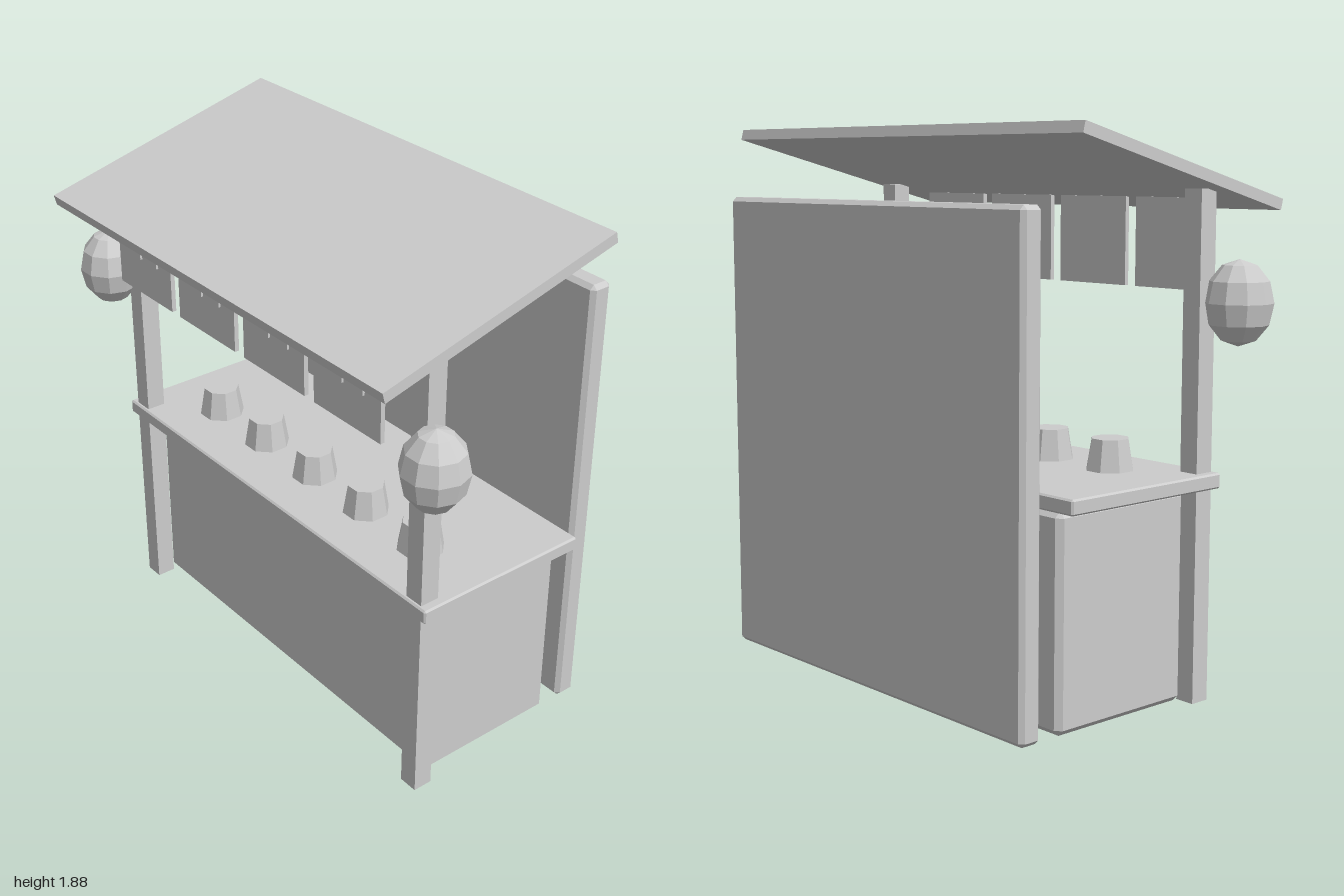
import * as THREE from 'three';
import { ConvexGeometry } from 'three/addons/geometries/ConvexGeometry.js';

export function createModel() {
  const model = new THREE.Group();
  const grey = new THREE.MeshStandardMaterial({ color: 0xcccccc, flatShading: true });
  grey.name = 'plain grey';

  const add = (name, geometry, x, y, z) => {
    const mesh = new THREE.Mesh(geometry, grey);
    mesh.name = name;
    mesh.position.set(x, y, z);
    model.add(mesh);
    return mesh;
  };

  // Box given by its limits on each axis
  const box = (name, [x0, x1], [y0, y1], [z0, z1]) =>
    add(name, new THREE.BoxGeometry(x1 - x0, y1 - y0, z1 - z0),
      (x0 + x1) / 2, (y0 + y1) / 2, (z0 + z1) / 2);

  // The same with all edges cut off by a bevel b
  const bevelBox = (name, [x0, x1], [y0, y1], [z0, z1], b) => {
    const h = [(x1 - x0) / 2, (y1 - y0) / 2, (z1 - z0) / 2];
    const points = [];
    for (const sx of [-1, 1]) for (const sy of [-1, 1]) for (const sz of [-1, 1]) {
      for (let axis = 0; axis < 3; axis++) {
        const p = h.map((v, i) => (i === axis ? v : v - b));
        points.push(new THREE.Vector3(sx * p[0], sy * p[1], sz * p[2]));
      }
    }
    add(name, new ConvexGeometry(points), (x0 + x1) / 2, (y0 + y1) / 2, (z0 + z1) / 2);
  };

  // Counter and back wall
  bevelBox('counterBody', [-0.775, 0.775], [0.005, 0.712], [-0.36, 0.2], 0.02);
  bevelBox('counterTop', [-0.847, 0.847], [0.714, 0.765], [-0.377, 0.29], 0.006);
  bevelBox('backWall', [-0.775, 0.775], [0.005, 1.635], [-0.513, -0.43], 0.015);

  // Sign board on the back wall with three raised bars
  box('signBoard', [-0.32, 0.32], [1.35, 1.56], [-0.43, -0.397]);
  for (const x of [-0.17, 0, 0.18])
    box('signBar', [x - 0.055, x + 0.055], [1.44, 1.475], [-0.397, -0.388]);

  // Sloping roof
  const roof = add('roof', new THREE.BoxGeometry(1.78, 0.037, 0.925), 0, 1.74, 0.0635);
  roof.rotation.x = 0.257;

  // Posts and lanterns, mirrored left and right
  const lantern = new THREE.SphereGeometry(0.111, 10, 6).scale(1, 1.25, 1);
  for (const s of [-1, 1]) {
    box('post', [s * 0.78 - 0.035, s * 0.78 + 0.035], [0, 1.675], [0.208, 0.278]);
    add('lantern', lantern, s * 0.889, 1.316, 0.31);
  }

  // Hanging panels, each with two small raised bars
  for (const x of [-0.553, -0.185, 0.185, 0.553]) {
    box('hangingPanel', [x - 0.16, x + 0.16], [1.34, 1.643], [0.354, 0.37]);
    for (const dx of [-0.05, 0.05])
      box('panelBar', [x + dx - 0.035, x + dx + 0.035], [1.473, 1.508], [0.37, 0.378]);
  }

  // Row of upturned cups
  const cup = new THREE.CylinderGeometry(0.064, 0.082, 0.105, 8).rotateY(Math.PI / 8);
  for (let i = -2; i <= 2; i++) add('cup', cup, i * 0.283, 0.8175, 0.065);

  return model;
}
